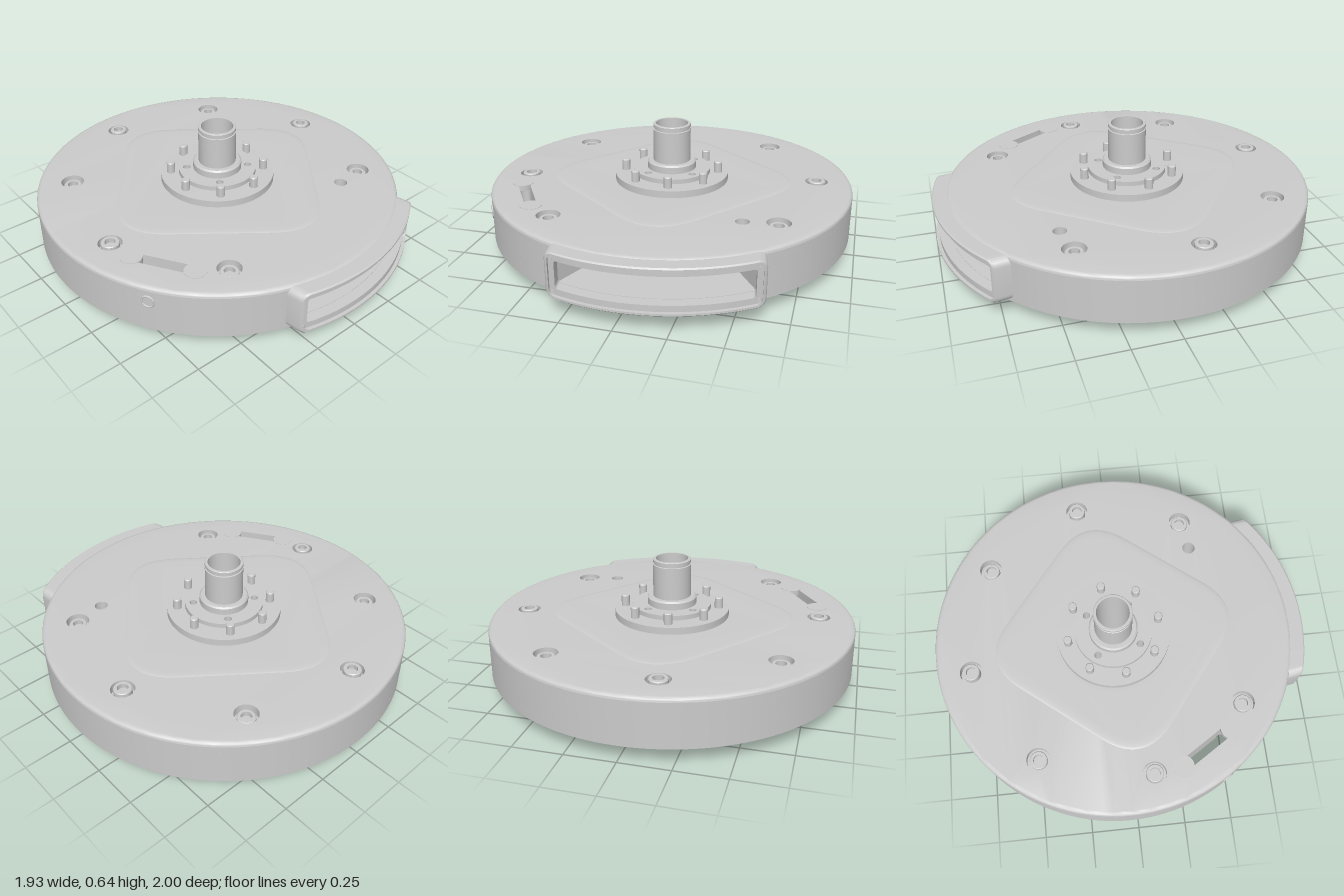
import * as THREE from 'three';
import { toCreasedNormals } from 'three/addons/utils/BufferGeometryUtils.js';

const V = (x, y) => new THREE.Vector2(x, y);
const P = (deg, r) => V(r * Math.cos(deg * Math.PI / 180), r * Math.sin(deg * Math.PI / 180));
const material = new THREE.MeshStandardMaterial({ color: 0xcccccc, side: THREE.DoubleSide });
const R = 0.965;          // disc radius
const TURN = 10;          // the port and the pockets are turned by this many degrees

function add(parent, name, geometry, x = 0, y = 0, z = 0) {
  const mesh = new THREE.Mesh(toCreasedNormals(geometry, 0.6), material);
  mesh.name = name;
  mesh.position.set(x, y, z);
  parent.add(mesh);
  return mesh;
}

function arc(a0, a1, r, n) {
  return Array.from({ length: n + 1 }, (_, i) => P(a0 + (a1 - a0) * i / n, r));
}

function circle(x, y, r, n = 28) {
  return arc(0, 360 - 360 / n, r, n - 1).map(p => p.add(V(x, y)));
}

// Straight slot with round ends
function capsule(a, b, r) {
  const t = Math.atan2(b.y - a.y, b.x - a.x) * 180 / Math.PI;
  return [...arc(t - 90, t + 90, r, 12).map(p => p.add(b)), ...arc(t + 90, t + 270, r, 12).map(p => p.add(a))];
}

// Polygon with its corners rounded by short quadratic curves
function rounded(pts, radius) {
  const out = [];
  pts.forEach((p, i) => {
    const q = pts[(i + pts.length - 1) % pts.length], s = pts[(i + 1) % pts.length];
    const a = p.clone().lerp(q, Math.min(0.49, radius / p.distanceTo(q)));
    const b = p.clone().lerp(s, Math.min(0.49, radius / p.distanceTo(s)));
    out.push(...new THREE.QuadraticBezierCurve(a, p, b).getPoints(radius > 0.2 ? 16 : 5));
  });
  return out;
}

// Horizontal slab from y0 to y1; outline and holes are seen from above
function slab(outline, holes, y0, y1, options = {}) {
  const shape = new THREE.Shape(outline);
  shape.holes = holes.map(h => new THREE.Path(h));
  return new THREE.ExtrudeGeometry(shape, { depth: y1 - y0, bevelEnabled: false, ...options })
    .rotateX(-Math.PI / 2).translate(0, y0, 0);
}

const lathe = (pts, n = 32) => new THREE.LatheGeometry(pts.map(p => V(...p)), n);

// Closed rounded-rectangle loop wrapped on a vertical cylinder of radius rad
function wrappedLoop(hw, hh, r, rad) {
  const loop = [], n = 32;
  [[1, -1, -90], [1, 1, 0], [-1, 1, 90], [-1, -1, 180]].forEach(([sx, sy, a]) => {
    loop.push(...arc(a, a + 90, r, 6).map(p => p.add(V(sx * (hw - r), sy * (hh - r)))));
    if (sx === sy) // long top and bottom edges
      for (let i = 1; i < n; i++) loop.push(V(sx * (hw - r) * (1 - 2 * i / n), sy * hh));
  });
  return loop.map(p => [p.x, p.y, Math.sqrt(rad * rad - p.x * p.x)]);
}

function loft(loops) {
  const n = loops[0].length, index = [];
  for (let j = 0; j < loops.length - 1; j++)
    for (let i = 0; i < n; i++) {
      const a = j * n + i, b = j * n + (i + 1) % n;
      index.push(a, b, b + n, a, b + n, a + n);
    }
  const g = new THREE.BufferGeometry();
  g.setAttribute('position', new THREE.Float32BufferAttribute(loops.flat(2), 3));
  g.setIndex(index);
  g.computeVertexNormals();
  return g;
}

function buildHousing(body, bolts) {
  const outline = circle(0, 0, R, 128);
  const pocket = (a0, a1, inner) =>
    rounded([...arc(a0, a1, 0.735, 16), ...inner.map(([a, r]) => P(a, r))], 0.05);
  const pockets = [
    pocket(-23, 47, [[7, 0.31]]),
    pocket(67, 138, [[104, 0.31]]),
    pocket(150, 230, [[210, 0.37], [184, 0.47]]),
  ];
  const innerHoles = [0, 1, 2, 3].map(i => { const p = P(55 + 90 * i, 0.165); return circle(p.x, p.y, 0.022, 16); });
  const pinHoles = [10, 100, 145, 190, 235, 280].map(a => { const p = P(a, 0.25); return circle(p.x, p.y, 0.032, 18); });
  const bore = circle(0, 0, 0.09);
  const drain = circle(0.47, -0.475, 0.035);
  const e0 = V(-0.75, -0.285), e1 = V(-0.58, -0.555);
  const slot = capsule(e0.clone().lerp(e1, 0.12), e0.clone().lerp(e1, 0.88), 0.03);
  const t = Math.atan2(e1.y - e0.y, e1.x - e0.x) * 180 / Math.PI;
  const dumbbell = [...arc(t - 145, t + 145, 0.052, 20).map(p => p.add(e1)),
    ...arc(t + 35, t + 325, 0.052, 20).map(p => p.add(e0))];

  // Bottom plate, then the hollow middle with the port cavity, then the lid
  add(body, 'bottomPlate', slab(outline,
    [...pockets, circle(0, 0, 0.1), innerHoles[0], innerHoles[1], innerHoles[3], ...pinHoles.filter((_, i) => i !== 4),
      circle(...P(235, 0.235).toArray(), 0.032), dumbbell, capsule(V(0.45, -0.46), V(0.56, -0.41), 0.058)], 0.085, 0.14));
  const cavity = rounded([V(-0.08, -0.46), V(0.37, -0.46)], 0.001).length &&
    [V(-0.17, -0.62), V(-0.12, -0.52), V(-0.06, -0.47), V(0.02, -0.45), V(0.3, -0.43), V(0.36, -0.45), V(0.41, -0.51)];
  add(body, 'middleWall', slab([...arc(280 + 27.5, 612.5, R, 110), ...cavity],
    [...pockets, bore, ...innerHoles, drain, slot], 0.14, 0.28));
  const boltHoles = bolts.map(([x, z]) => circle(x, -z, 0.06));
  const lidHoles = [bore, ...innerHoles, drain, slot, ...boltHoles];
  add(body, 'lid', slab(outline, lidHoles, 0.28, 0.31));

  // Lid top with a rounded outer edge
  const top = slab(outline, lidHoles, 0.31, 0.33, { steps: 5 });
  const pos = top.attributes.position;
  for (let i = 0; i < pos.count; i++) {
    const x = pos.getX(i), z = pos.getZ(i), r = Math.hypot(x, z);
    if (r < 0.95) continue;
    const h = Math.min(1, (pos.getY(i) - 0.31) / 0.02);
    const k = (R - 0.02 + 0.02 * Math.sqrt(1 - h * h)) / r;
    pos.setX(i, x * k);
    pos.setZ(i, z * k);
  }
  add(body, 'lidEdge', top);

  // Low rounded-diamond pad with soft sloping sides
  const diamond = rounded([P(97, 0.74), P(187, 0.74), P(277, 0.74), P(367, 0.74)], 0.27);
  add(body, 'raisedPad', slab(diamond, [circle(0, 0, 0.28)], 0.327, 0.329,
    { bevelEnabled: true, bevelSize: 0.05, bevelOffset: -0.05, bevelThickness: 0.005, bevelSegments: 4 }));

  // Flush plugs at the slot ends and a small port in the wall
  for (const e of [e0, e1])
    add(body, 'slotPlug', new THREE.CylinderGeometry(0.055, 0.055, 0.03, 28), e.x, 0.317, -e.y);
  const s = P(212, R);
  add(body, 'sidePort', new THREE.TorusGeometry(0.03, 0.005, 8, 24), s.x, 0.25, -s.y)
    .rotation.y = Math.atan2(s.x, -s.y);
}

function buildPort(body) {
  const port = new THREE.Group();
  port.name = 'sidePortFrame';
  port.position.y = 0.208;
  port.rotation.y = TURN * Math.PI / 180;
  body.add(port);
  // half width, half height, corner radius, wrap radius
  add(port, 'portFrame', loft([
    [0.49, 0.117, 0.04, 0.9], [0.49, 0.117, 0.04, 1.028], [0.484, 0.111, 0.035, 1.035],
    [0.474, 0.101, 0.028, 1.035], [0.474, 0.101, 0.028, 1.018],
    [0.445, 0.07, 0.012, 1.018], [0.445, 0.07, 0.012, 0.93],
  ].map(s => wrappedLoop(...s))));
  for (const sx of [-1, 1]) for (const sy of [-1, 1])
    add(port, 'portScrew', new THREE.CylinderGeometry(0.008, 0.008, 0.02, 12).rotateX(Math.PI / 2),
      sx * 0.458, sy * 0.084, 0.905);
}

function buildHub(body) {
  const holes = [circle(0, 0, 0.09),
    ...[0, 1, 2, 3].map(i => { const p = P(55 + 90 * i, 0.165); return circle(p.x, p.y, 0.02, 16); })];
  const hub = new THREE.Group();
  hub.name = 'hub';
  body.add(hub);
  add(hub, 'hubFlange', slab(circle(0, 0, 0.305, 72), holes, 0.33, 0.37));
  add(hub, 'hubStep', slab(circle(0, 0, 0.208, 60), holes, 0.37, 0.395));
  // Hollow column with a collar at its foot and a groove under its lip
  add(hub, 'hubColumn', lathe([[0.13, 0.39], [0.13, 0.43], [0.122, 0.438], [0.1, 0.438], [0.1, 0.61],
    [0.094, 0.612], [0.094, 0.62], [0.1, 0.622], [0.1, 0.637], [0.097, 0.64], [0.085, 0.64],
    [0.085, 0.085]], 48));
  for (let i = 0; i < 8; i++) {
    const p = P(TURN + 45 * i, 0.25);
    add(hub, 'flangePin', lathe([[0.022, 0.36], [0.022, 0.425], [0.018, 0.43], [0, 0.43]], 20), p.x, 0, -p.y);
  }
}

export function createModel() {
  const model = new THREE.Group();
  model.name = 'discHousing';
  const body = new THREE.Group();
  body.name = 'body';
  body.position.z = -0.035;
  model.add(body);

  // x, z, whether the bolt sits high
  const bolts = [[-0.14, -0.775, 1], [0.45, -0.645, 0], [0.77, -0.135, 1], [0.64, 0.445, 0],
    [-0.45, 0.64, 0], [-0.77, 0.135, 1], [-0.64, -0.45, 0]];
  buildHousing(body, bolts);
  buildPort(body);
  buildHub(body);

  // Socket bolts with shanks showing below
  for (const [x, z, high] of bolts) {
    const t = high ? 0.337 : 0.315, b = high ? 0.025 : 0;
    add(body, 'boltHead', lathe([[0.06, 0.285], [0.046, 0.285], [0.046, t - 0.004], [0.042, t],
      [0.027, t], [0.027, t - 0.025], [0, t - 0.025]], 28), x, 0, z);
    add(body, 'boltShank', lathe([[0, b], [0.017, b], [0.022, b + 0.007], [0.022, 0.28]], 20), x, 0, z);
  }
  return model;
}
